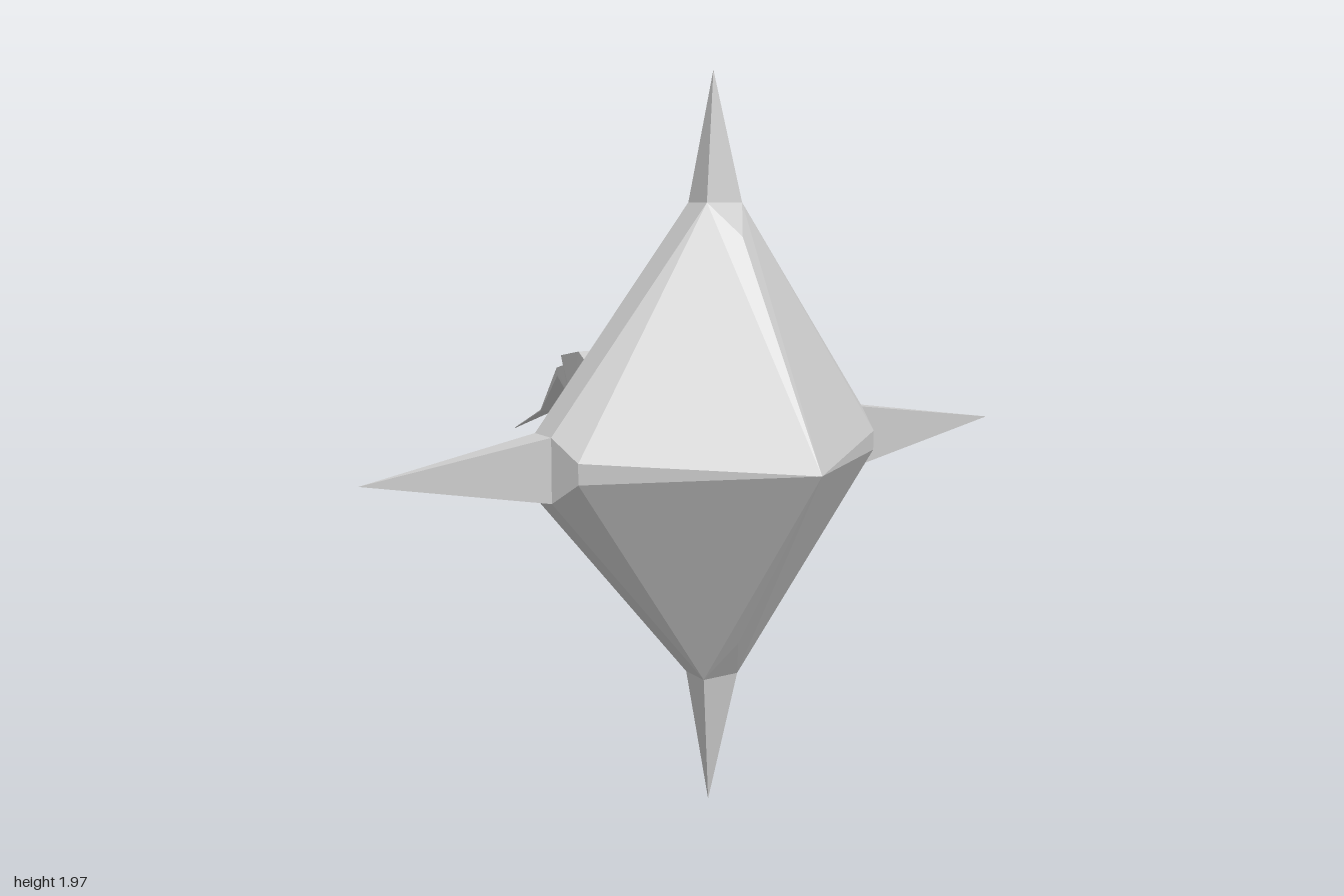
import * as THREE from 'three';
import { ConvexGeometry } from 'three/addons/geometries/ConvexGeometry.js';

const CX = -0.015, CY = 0.99;
const ZF = 0.395, ZB = 0.31; // front and back of the rim
const V = (x, y, z) => new THREE.Vector3(x, y, z);

// Skin four-cornered sections [topZ, topY, topHalf, bottomZ, bottomY, bottomHalf]
function loft(sections) {
  const rings = sections.map(([tz, ty, tw, bz, by, bw]) => [
    V(CX - bw, by, bz), V(CX - tw, ty, tz), V(CX + tw, ty, tz), V(CX + bw, by, bz)]);
  const pts = [];
  const quad = (a, b, c, d) => pts.push(a, b, c, a, c, d);
  for (let r = 0; r < rings.length - 1; r++) {
    for (let i = 0; i < 4; i++) {
      const j = (i + 1) % 4;
      quad(rings[r][i], rings[r][j], rings[r + 1][j], rings[r + 1][i]);
    }
  }
  const s = rings[0], e = rings[rings.length - 1];
  quad(s[3], s[2], s[1], s[0]);
  quad(e[0], e[1], e[2], e[3]);
  const g = new THREE.BufferGeometry().setFromPoints(pts);
  g.computeVertexNormals();
  return g;
}

export function createModel() {
  const group = new THREE.Group();
  const grey = new THREE.MeshStandardMaterial({ color: 0xcccccc, flatShading: true });
  grey.name = 'light grey';
  const add = (name, geometry) => {
    const m = new THREE.Mesh(geometry, grey);
    m.name = name;
    group.add(m);
  };

  // Faceted diamond body: nose, bevel ring, flat rim, back plate
  const body = [V(CX, CY, 0.81),
    V(CX, 1.55, 0.475), V(CX, 0.485, 0.475), V(CX, 1.355, 0.17), V(CX, 0.65, 0.17)];
  for (const x of [0.435, -0.495]) body.push(V(x, 1.015, 0.475), V(x, 0.962, 0.475));
  for (const x of [0.32, -0.35]) body.push(V(x, 1.025, 0.17), V(x, 0.955, 0.17));
  for (const z of [ZF, ZB]) {
    for (const x of [0.46, -0.525]) body.push(V(x, 1.07, z), V(x, 0.905, z));
    for (const y of [1.635, 0.37]) body.push(V(-0.07, y, z), V(0.04, y, z));
  }
  add('body', new ConvexGeometry(body));

  // Four pyramid spikes on the rim corners
  const spike = (name, tip, corners) => add(name, new ConvexGeometry(
    [tip, ...corners.flatMap(([x, y]) => [V(x, y, ZF), V(x, y, ZB)])]));
  spike('topSpike', V(CX, 1.97, 0.34), [[-0.07, 1.635], [0.04, 1.635]]);
  spike('bottomSpike', V(CX, 0, 0.34), [[-0.07, 0.37], [0.04, 0.37]]);
  spike('leftSpike', V(1, CY, 0.338), [[0.46, 1.07], [0.46, 0.905]]);
  spike('rightSpike', V(-1, CY, 0.338), [[-0.525, 1.07], [-0.525, 0.905]]);

  // Curved tail base, narrowing towards the back
  add('tailBase', loft([
    [0.17, 1.13, 0.18, 0.17, 0.85, 0.195],
    [0.11, 1.155, 0.165, 0.06, 0.88, 0.165],
    [-0.02, 1.18, 0.165, -0.08, 0.96, 0.167],
    [-0.14, 1.21, 0.132, -0.17, 1.05, 0.135],
    [-0.28, 1.185, 0.113, -0.25, 1.05, 0.1],
  ]));

  // Tail end, thinning to a flat pointed blade
  add('tailTip', loft([
    [-0.25, 1.165, 0.088, -0.25, 1.05, 0.085],
    [-0.28, 1.16, 0.085, -0.285, 1.05, 0.08],
    [-0.42, 1.13, 0.052, -0.42, 1.105, 0.05],
    [-0.575, 0.977, 0.028, -0.575, 0.973, 0.028],
    [-0.81, 0.886, 0.001, -0.81, 0.884, 0.001],
  ]));
  return group;
}
